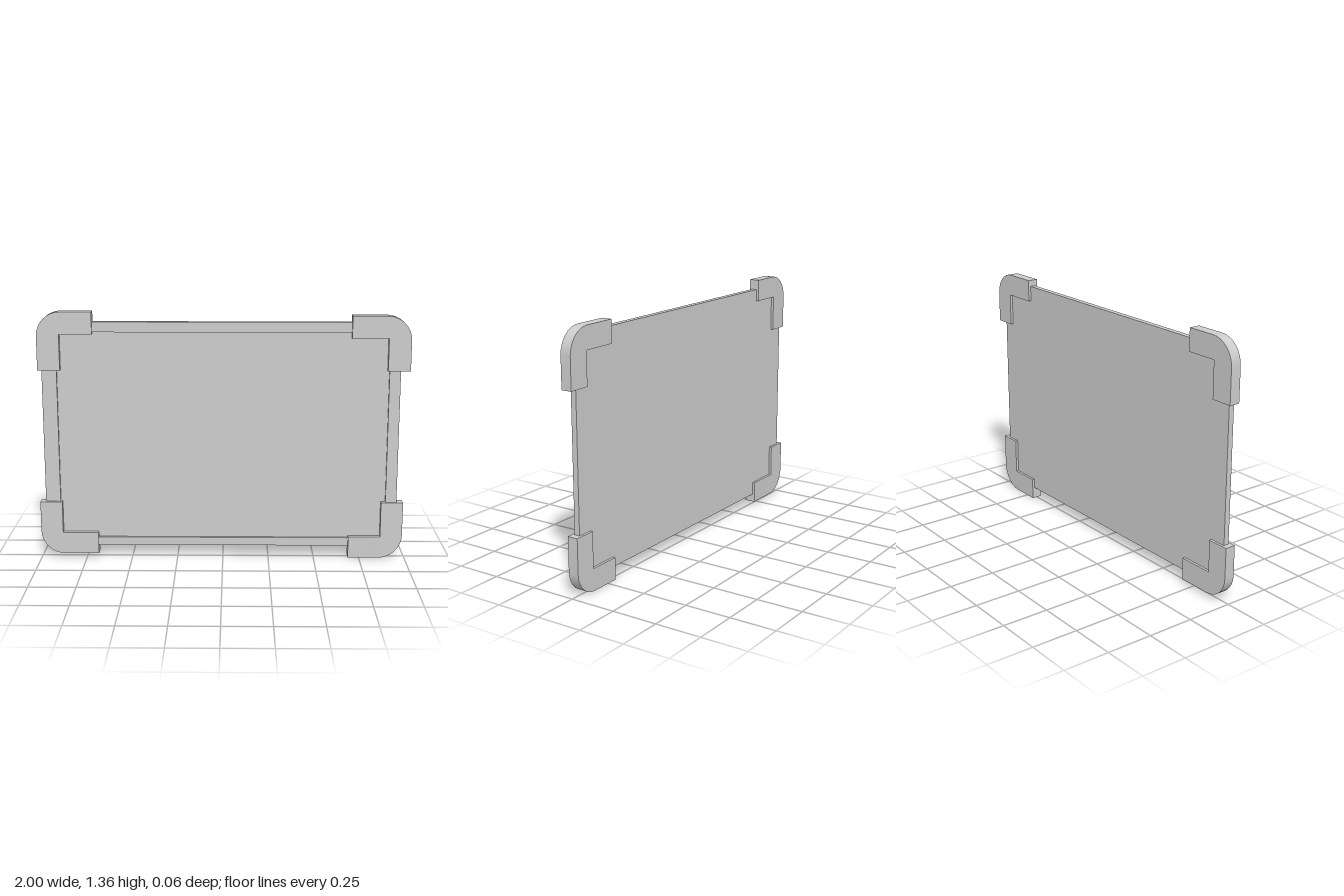
import * as THREE from 'three';
import { toCreasedNormals } from 'three/addons/utils/BufferGeometryUtils.js';

const material = new THREE.MeshStandardMaterial({ color: 0xcccccc });

// Extrude a shape between two z planes, keeping hard edges sharp
function slab(name, shape, z0, z1) {
  const geometry = new THREE.ExtrudeGeometry(shape, { depth: z1 - z0, bevelEnabled: false, curveSegments: 4 });
  geometry.translate(0, 0, z0);
  const mesh = new THREE.Mesh(toCreasedNormals(geometry, 0.6), material);
  mesh.name = name;
  return mesh;
}

function polygon(points) {
  return new THREE.Shape(points.map(([x, y]) => new THREE.Vector2(x, y)));
}

// Rectangle with small cut corners that stay hidden inside the corner guards
function cutRectangle(x0, y0, x1, y1, c) {
  return polygon([
    [x0 + c, y0], [x1 - c, y0], [x1, y0 + c], [x1, y1 - c],
    [x1 - c, y1], [x0 + c, y1], [x0, y1 - c], [x0, y0 + c],
  ]);
}

// L-shaped guard with its outer corner at the origin, arms along +x and +y
function guardShape(width = 0.29, height = 0.315, thick = 0.12, r = 0.13) {
  const s = new THREE.Shape();
  s.moveTo(r, 0);
  s.lineTo(width, 0);
  s.lineTo(width, thick);
  s.lineTo(thick, thick);
  s.lineTo(thick, height);
  s.lineTo(0, height);
  s.lineTo(0, r);
  s.absarc(r, r, r, Math.PI, Math.PI * 1.5, false);
  return s;
}

export function createModel() {
  const group = new THREE.Group();
  group.name = 'framedPanel';

  // Backing board, flush with the back of the frame
  group.add(slab('board', cutRectangle(-0.97, 0.065, 0.95, 1.305, 0.04), -0.015, 0.002));

  // Raised rim around the front of the board
  const rim = cutRectangle(-0.97, 0.065, 0.95, 1.305, 0.04);
  rim.holes.push(polygon([[-0.89, 0.11], [-0.89, 1.25], [0.89, 1.25], [0.89, 0.11]]));
  group.add(slab('rim', rim, 0.002, 0.015));

  // Four corner guards, each a quarter turn from the last
  const corners = [
    ['bottomLeftGuard', -1.0, 0.02, 0],
    ['bottomRightGuard', 0.985, 0.0, 1],
    ['topRightGuard', 1.0, 1.34, 2],
    ['topLeftGuard', -0.99, 1.36, 3],
  ];
  // The longer arm comes first in turning order
  const shape = guardShape(0.315, 0.295);
  for (const [name, x, y, turns] of corners) {
    // Names follow the model's own sides: its left is +x
    const own = name.includes('Left') ? name.replace('Left', 'Right') : name.replace('Right', 'Left');
    const guard = slab(own, shape, -0.029, 0.029);
    guard.position.set(x, y, 0);
    guard.rotation.z = turns * Math.PI / 2;
    group.add(guard);
  }
  return group;
}
